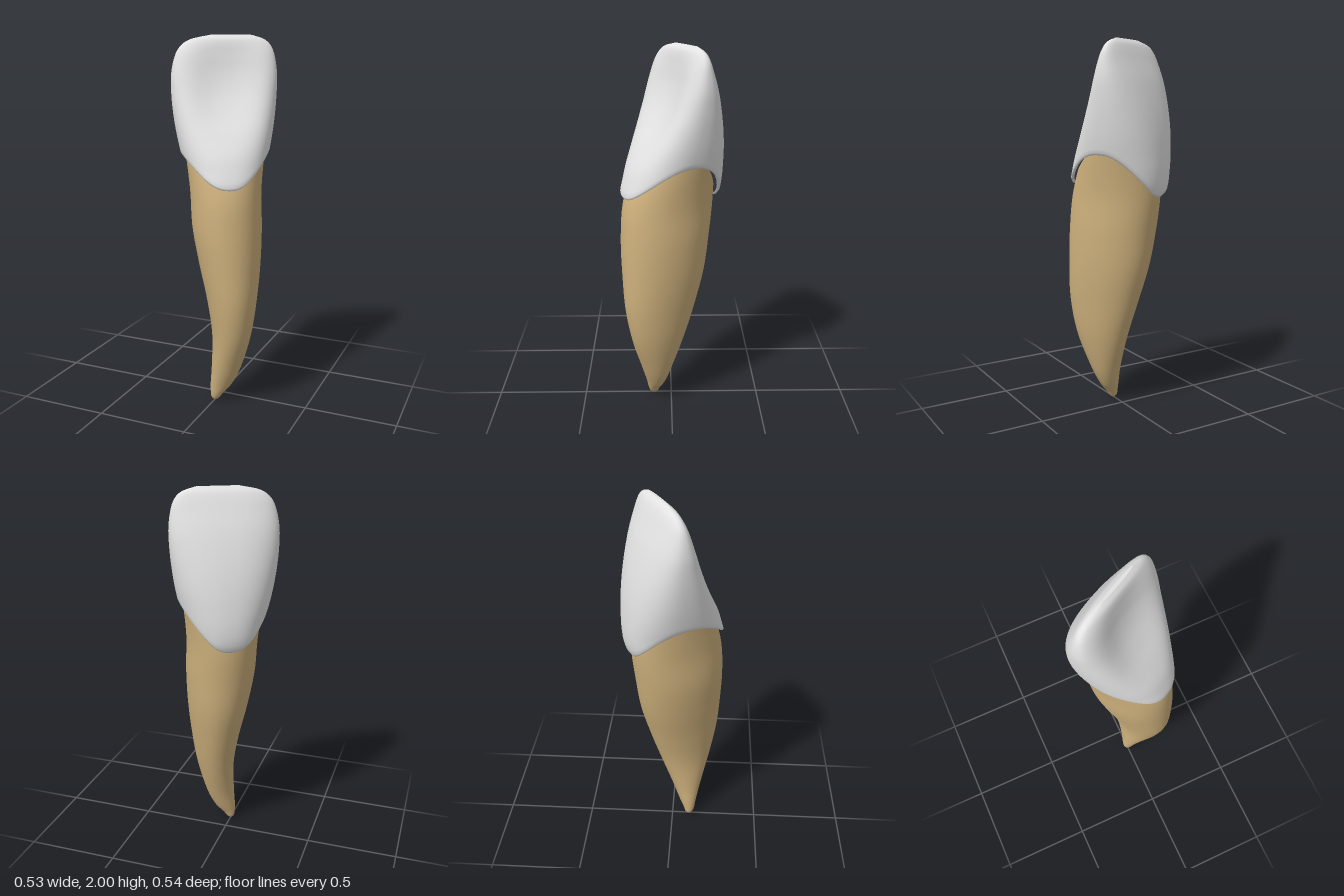
import * as THREE from 'three';

// The cutting edge runs diagonally: u lies along it, w points to the hollow inner face.
const COS = 0.883, SIN = 0.469, SEGMENTS = 80;

// Rows: height, u min, u max, w of widest line, w outer, w inner, depth of hollow
const CROWN = [
  [1.15, -0.175, 0.21, 0.02, -0.225, 0.285, 0],
  [1.24, -0.185, 0.215, 0.015, -0.256, 0.288, 0],
  [1.32, -0.2, 0.232, 0.0, -0.263, 0.265, 0],
  [1.4, -0.222, 0.25, -0.015, -0.26, 0.238, 0.005],
  [1.5, -0.243, 0.27, -0.03, -0.25, 0.2, 0.03],
  [1.6, -0.258, 0.284, -0.04, -0.232, 0.155, 0.055],
  [1.7, -0.266, 0.293, -0.048, -0.206, 0.108, 0.065],
  [1.8, -0.265, 0.295, -0.05, -0.173, 0.062, 0.055],
  [1.9, -0.242, 0.28, -0.052, -0.13, 0.018, 0.03],
  [1.95, -0.208, 0.258, -0.055, -0.107, -0.008, 0.012],
  [1.98, -0.155, 0.222, -0.057, -0.089, -0.027, 0.003],
  [2.0, -0.06, 0.16, -0.058, -0.066, -0.05, 0],
];
const ROOT = [
  [0, -0.052, -0.042, 0.088, 0.083, 0.093, 0],
  [0.015, -0.066, -0.022, 0.09, 0.068, 0.112, 0],
  [0.04, -0.071, -0.005, 0.093, 0.062, 0.124, 0],
  [0.1, -0.072, 0.046, 0.095, 0.045, 0.145, 0],
  [0.2, -0.066, 0.094, 0.101, 0.018, 0.184, 0],
  [0.4, -0.063, 0.149, 0.105, -0.046, 0.256, 0],
  [0.6, -0.09, 0.18, 0.092, -0.111, 0.295, 0],
  [0.8, -0.131, 0.201, 0.067, -0.168, 0.302, 0],
  [1.0, -0.165, 0.209, 0.049, -0.201, 0.299, 0],
  [1.2, -0.176, 0.208, 0.025, -0.228, 0.281, 0],
  [1.46, -0.21, 0.24, -0.02, -0.235, 0.2, 0],
];

// Smooth interpolation of every column of a table at height y
function sample(rows, y) {
  const last = rows.length - 1;
  let i = 0;
  while (i < last - 1 && y > rows[i + 1][0]) i++;
  const slope = (k, c) => {
    const p = rows[Math.max(k - 1, 0)], q = rows[Math.min(k + 1, last)];
    return (q[c] - p[c]) / (q[0] - p[0]);
  };
  const a = rows[i], b = rows[i + 1], h = b[0] - a[0];
  const t = THREE.MathUtils.clamp((y - a[0]) / h, 0, 1), t2 = t * t, t3 = t2 * t;
  return a.map((v, c) => (2 * t3 - 3 * t2 + 1) * v + (3 * t2 - 2 * t3) * b[c]
    + h * ((t3 - 2 * t2 + t) * slope(i, c) + (t3 - t2) * slope(i + 1, c)));
}

// Wavy neck line: high at the two sides, low on the inner and outer faces
function neck(angle) {
  const c = Math.cos(angle);
  return 1.213 + 0.022 * Math.sin(angle) + (c > 0 ? 0.2 : 0.17) * c * c;
}

// Point of a cross-section, shrunk towards its middle by scale
function sectionPoint(rows, y, angle, scale, power) {
  const [, uMin, uMax, wMid, wOut, wIn, hollow] = sample(rows, y);
  const c = Math.cos(angle), s = Math.sin(angle), uMid = (uMin + uMax) / 2;
  const round = (v) => Math.sign(v) * Math.pow(Math.abs(v), power);
  const u = uMid + scale * round(c) * (uMax - uMin) / 2;
  const depth = s > 0 ? (wIn - wMid) * round(s) - hollow * s ** 6 : (wMid - wOut) * round(s);
  const w = wMid + scale * depth;
  return [COS * u + SIN * w, y, -SIN * u + COS * w];
}

// Skin over rings; ringAt(k, angle) gives [height, scale]
function loft(rows, count, power, ringAt) {
  const positions = [], index = [];
  for (let k = 0; k <= count; k++) {
    for (let j = 0; j < SEGMENTS; j++) {
      const angle = (j / SEGMENTS) * Math.PI * 2;
      const [y, scale] = ringAt(k, angle);
      positions.push(...sectionPoint(rows, y, angle, scale, power));
      if (k === count) continue;
      const a = k * SEGMENTS + j, b = k * SEGMENTS + (j + 1) % SEGMENTS;
      index.push(a, a + SEGMENTS, b, b, a + SEGMENTS, b + SEGMENTS);
    }
  }
  const geometry = new THREE.BufferGeometry();
  geometry.setAttribute('position', new THREE.Float32BufferAttribute(positions, 3));
  geometry.setIndex(index);
  geometry.computeVertexNormals();
  return geometry;
}

export function createModel() {
  const enamel = new THREE.MeshStandardMaterial({ color: 0xe2e2e2 });
  enamel.name = 'enamel white';
  const dentine = new THREE.MeshStandardMaterial({ color: 0xcdb07c });
  dentine.name = 'root tan';

  // Crown: a rolled lip at the neck, then rings up to the cutting edge
  const crownRings = 50;
  const crownGeometry = loft(CROWN, crownRings + 3, 0.86, (k, angle) => {
    const base = neck(angle);
    if (k === 0) return [base + 0.012, 0.93];
    if (k === 1) return [base, 0.975];
    if (k === crownRings + 3) return [2, 0];
    const t = 1 - (1 - (k - 2) / crownRings) ** 1.7;
    const start = base + 0.012;
    return [start + (2 - start) * t, 1];
  });
  const crown = new THREE.Mesh(crownGeometry, enamel);
  crown.name = 'crown';

  // Root: from the closed tip up to just inside the crown
  const rootRings = 50;
  const rootGeometry = loft(ROOT, rootRings + 1, 0.97, (k, angle) => {
    if (k === 0) return [0, 0];
    const t = ((k - 1) / rootRings) ** 1.5;
    return [(neck(angle) + 0.025) * t, 1 - 0.03 * t ** 8];
  });
  const root = new THREE.Mesh(rootGeometry, dentine);
  root.name = 'root';

  const tooth = new THREE.Group();
  tooth.name = 'tooth';
  tooth.add(crown, root);
  return tooth;
}
